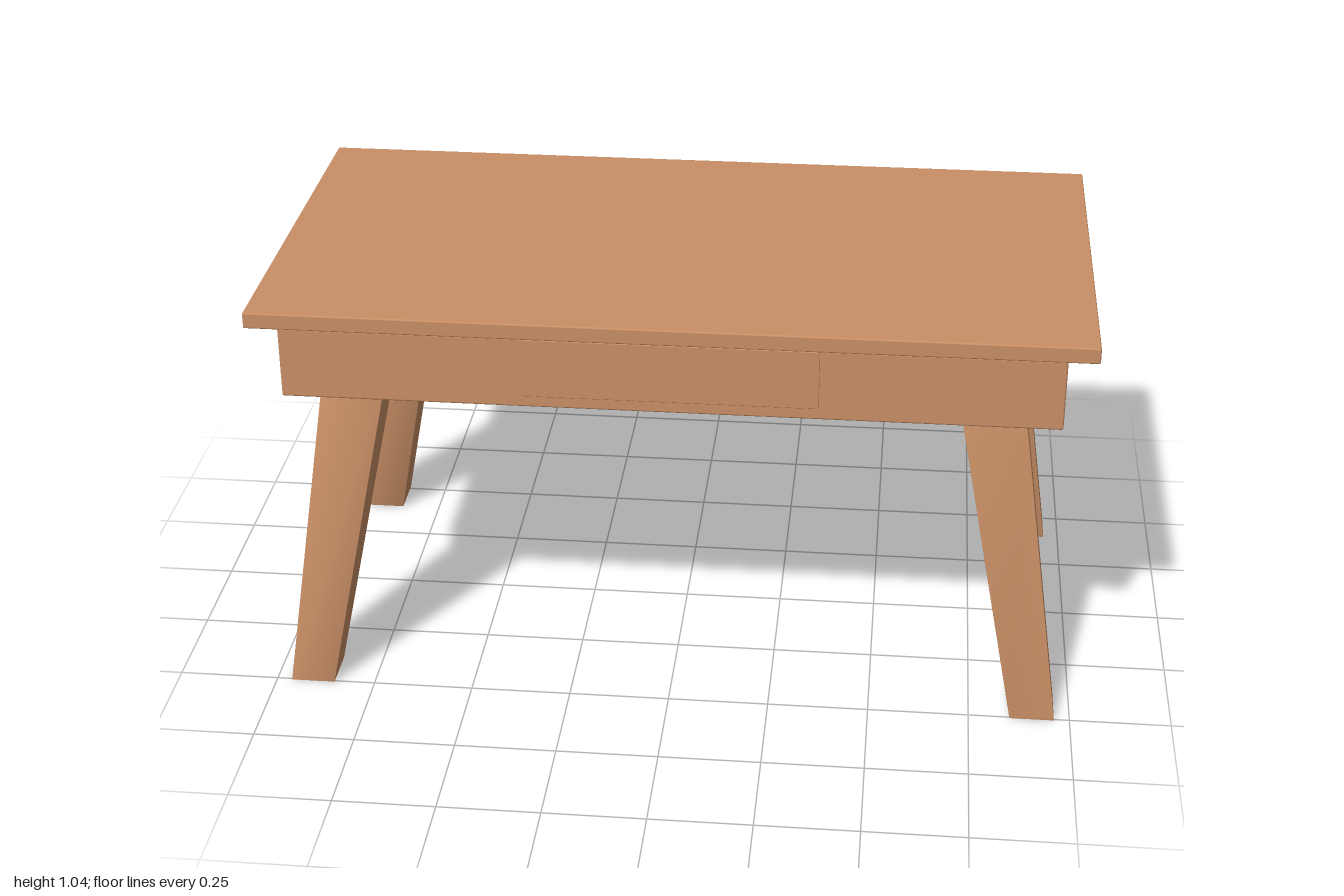
import * as THREE from 'three';
import { RoundedBoxGeometry } from 'three/addons/geometries/RoundedBoxGeometry.js';
import { toCreasedNormals } from 'three/addons/utils/BufferGeometryUtils.js';

const wood = new THREE.MeshStandardMaterial({ color: 0xc98f66 });
wood.name = 'warm wood';

// Softly bevelled board given by its extents
function board(name, [x0, x1], [y0, y1], [z0, z1], bevel) {
  const geometry = new RoundedBoxGeometry(x1 - x0, y1 - y0, z1 - z0, 2, bevel);
  const mesh = new THREE.Mesh(geometry, wood);
  mesh.position.set((x0 + x1) / 2, (y0 + y1) / 2, (z0 + z1) / 2);
  mesh.name = name;
  return mesh;
}

// Square leg that tapers and splays outwards towards the foot
function leg(name, sx, sz) {
  const height = 0.84;
  const geometry = new RoundedBoxGeometry(1, height, 1, 2, 0.008);
  const p = geometry.attributes.position;
  const mix = THREE.MathUtils.lerp;
  for (let i = 0; i < p.count; i++) {
    const y = p.getY(i) + height / 2;
    const t = y / 0.805;
    const width = mix(0.11, 0.153, t);
    p.setXYZ(i,
      sx * mix(0.907, 0.77, t) + p.getX(i) * width,
      y,
      sz * mix(0.45, 0.361, t) + p.getZ(i) * width);
  }
  const mesh = new THREE.Mesh(toCreasedNormals(geometry, 0.7), wood);
  mesh.name = name;
  return mesh;
}

export function createModel() {
  const table = new THREE.Group();
  table.name = 'table';

  // Top, the recessed strip beneath it, and the apron
  table.add(
    board('tableTop', [-1, 1], [1, 1.04], [-0.527, 0.527], 0.004),
    board('topSpacer', [-0.88, 0.88], [0.97, 1.005], [-0.46, 0.46], 0.002),
    board('apron', [-0.93, 0.93], [0.805, 0.985], [-0.488, 0.488], 0.005),
    // Shallow drawer front, barely proud of the apron
    board('drawerFront', [-0.357, 0.357], [0.835, 0.984], [0.47, 0.493], 0.002),
  );

  // Four splayed legs
  for (const [side, sx] of [['Left', 1], ['Right', -1]]) {
    for (const [end, sz] of [['front', 1], ['back', -1]]) {
      table.add(leg(`${end}${side}Leg`, sx, sz));
    }
  }
  return table;
}
